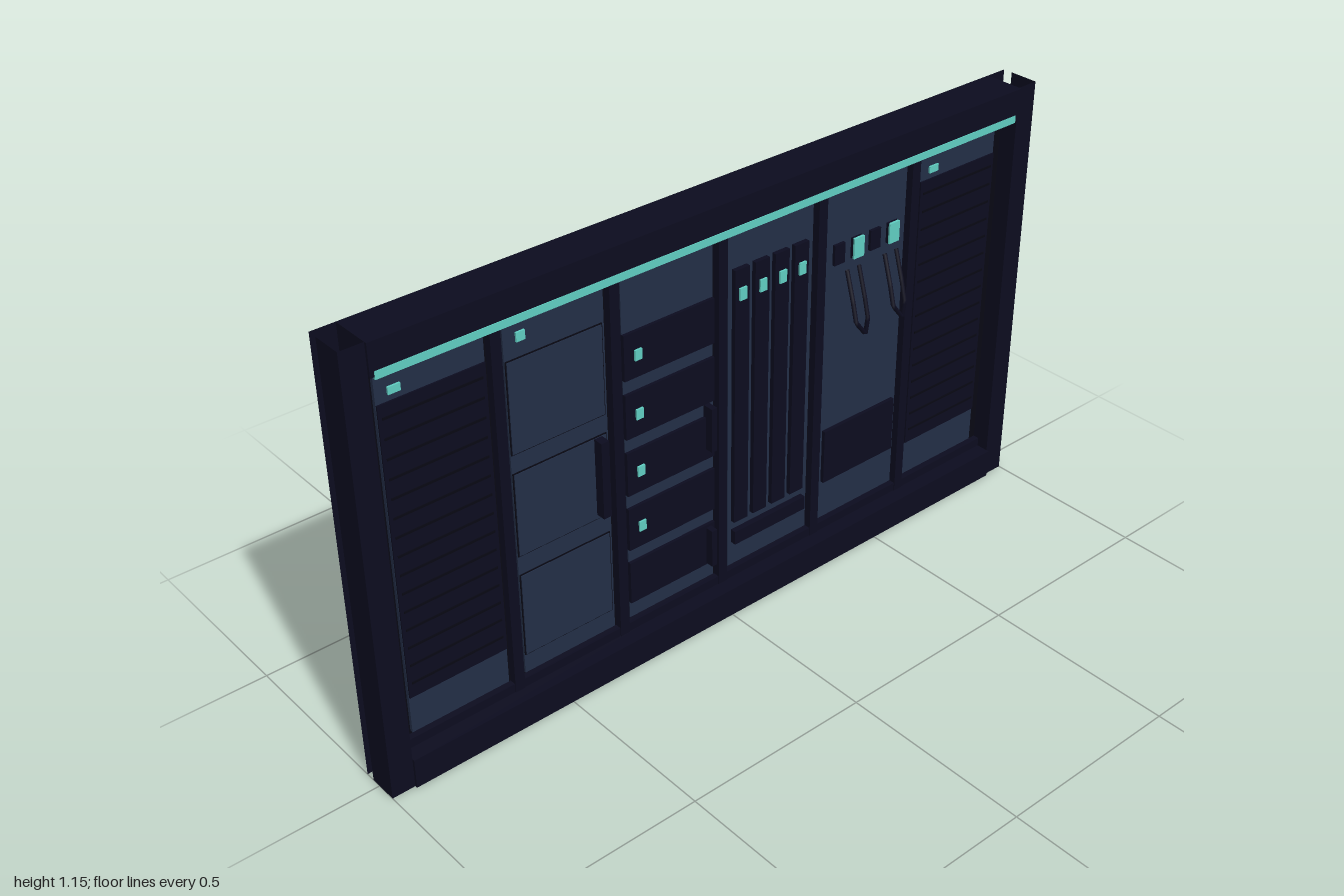
import * as THREE from 'three';

const mat = (name, color, side = THREE.FrontSide) => {
  const m = new THREE.MeshStandardMaterial({ color, side });
  m.name = name;
  return m;
};

export function createModel() {
  const frame = mat('dark navy', 0x0c0c1f, THREE.DoubleSide);
  const panel = mat('slate blue', 0x222e46);
  const seam = mat('seam black', 0x080813);
  const glow = mat('teal light', 0x60cec2);

  const root = new THREE.Group();
  root.name = 'wallCabinet';
  const group = (name) => {
    const g = new THREE.Group();
    g.name = name;
    root.add(g);
    return g;
  };
  const add = (parent, name, geometry, material) => {
    const m = new THREE.Mesh(geometry, material);
    m.name = name;
    parent.add(m);
    return m;
  };
  // Box given by its limits on each axis
  const box = (parent, name, x0, x1, y0, y1, z0, z1, material) => {
    const m = add(parent, name, new THREE.BoxGeometry(x1 - x0, y1 - y0, z1 - z0), material);
    m.position.set((x0 + x1) / 2, (y0 + y1) / 2, (z0 + z1) / 2);
    return m;
  };

  const H = 1.15, FACE = 0.012;

  // Outer shell: thin back sheet, rails, and posts open at the back and ends
  const shell = group('shell');
  add(shell, 'backSheet', new THREE.PlaneGeometry(2, H), frame).position.set(0, H / 2, -0.05);
  box(shell, 'bottomRail', -0.94, 0.94, 0, 0.08, -0.049, 0.06, frame);
  box(shell, 'topRail', -0.94, 0.94, 1.07, H, -0.049, 0.06, frame);
  box(shell, 'backing', -0.94, 0.94, 0.08, 1.07, -0.025, 0.003, seam);
  for (const s of [-1, 1]) {
    const post = new THREE.Group();
    post.name = s < 0 ? 'rightPost' : 'leftPost';
    shell.add(post);
    add(post, 'postFront', new THREE.PlaneGeometry(0.06, H), frame).position.set(s * 0.97, H / 2, 0.053);
    for (const [name, x] of [['postOuterSide', 1], ['postInnerSide', 0.94]]) {
      const side = add(post, name, new THREE.PlaneGeometry(0.078, H), frame);
      side.rotation.y = s * Math.PI / 2;
      side.position.set(s * x, H / 2, 0.014);
    }
  }
  box(shell, 'lightStrip', -0.93, 0.925, 1.064, 1.083, 0.056, 0.062, glow);

  // Bay fronts and the dividers between them
  const bays = group('bays');
  const centre = (i) => -0.777 + i * 0.3108;
  for (let i = 0; i < 6; i++) {
    const c = centre(i);
    box(bays, 'bayFront', c - 0.132, c + 0.132, 0.113, 1.047, 0, FACE, panel);
    if (i < 5) box(bays, 'divider', c + 0.142, c + 0.169, 0.08, 1.07, 0, 0.022, frame);
  }
  box(bays, 'upperTrim', -0.94, 0.94, 1.055, 1.07, 0, 0.02, frame);
  box(bays, 'lowerTrim', -0.94, 0.94, 0.08, 0.104, 0, 0.02, frame);

  const light = (parent, x, y, w, h, z) =>
    box(parent, 'indicator', x - w / 2, x + w / 2, y - h / 2, y + h / 2, z - 0.004, z + 0.003, glow);

  // Louvred end bays
  for (const i of [0, 5]) {
    const g = group('ventBay'), c = centre(i);
    box(g, 'vent', c - 0.131, c + 0.131, 0.213, 0.972, 0.004, 0.016, frame);
    for (let k = 0; k < 15; k++) {
      const y = 0.25 + k * 0.049;
      box(g, 'louvre', c - 0.122, c + 0.122, y, y + 0.006, 0.014, 0.018, seam);
    }
    light(g, c - 0.088, 0.997, 0.03, 0.018, 0.014);
  }

  // Door bay with three raised panels
  const door = group('doorBay');
  for (const [y0, y1] of [[0.165, 0.395], [0.445, 0.668], [0.715, 0.95]]) {
    box(door, 'panelSeam', -0.597, -0.34, y0, y1, FACE, 0.014, seam);
    box(door, 'raisedPanel', -0.594, -0.343, y0 + 0.003, y1 - 0.003, FACE, 0.016, panel);
  }
  box(door, 'doorHandle', -0.376, -0.354, 0.46, 0.665, FACE, 0.042, frame);
  light(door, -0.555, 1.0, 0.023, 0.023, 0.014);

  // Drawer bay
  const drawers = group('drawerBay');
  for (let k = 0; k < 5; k++) {
    const y = 0.16 + k * 0.155;
    box(drawers, 'drawer', -0.288, -0.025, y, y + 0.118, 0.004, 0.02, frame);
    if (k > 0) light(drawers, -0.25, y + 0.059, 0.02, 0.027, 0.022);
  }
  for (const [y0, y1] of [[0.5, 0.62], [0.165, 0.27]])
    box(drawers, 'drawerHandle', -0.052, -0.036, y0, y1, FACE, 0.042, frame);

  // Bay of upright modules
  const rack = group('moduleBay');
  for (let k = 0; k < 4; k++) {
    const x = 0.057 + k * 0.062;
    box(rack, 'module', x - 0.022, x + 0.022, 0.246, 0.947, 0.004, 0.024, frame);
    light(rack, x, 0.883, 0.021, 0.032, 0.026);
  }
  box(rack, 'moduleTray', 0.035, 0.27, 0.182, 0.22, 0.004, 0.028, frame);

  // Socket bay with hanging cable loops
  const sockets = group('socketBay');
  for (let k = 0; k < 4; k++) {
    const x = 0.372 + k * 0.06;
    if (k % 2) light(sockets, x, 0.872, 0.034, 0.054, 0.022);
    box(sockets, 'socket', x - 0.017, x + 0.017, 0.845, 0.899, 0.004, 0.02, frame);
  }
  box(sockets, 'socketDrawer', 0.34, 0.586, 0.226, 0.38, 0.004, 0.022, frame);
  for (const x of [0.398, 0.526]) {
    const pts = [[0, 0.82, 0.02], [0, 0.74, 0.045], [0, 0.69, 0.058], [0.04, 0.643, 0.052],
      [0.04, 0.69, 0.058], [0.04, 0.74, 0.045], [0.04, 0.82, 0.02]];
    const path = new THREE.CurvePath();
    for (let k = 0; k < pts.length - 1; k++)
      path.add(new THREE.LineCurve3(new THREE.Vector3(...pts[k]), new THREE.Vector3(...pts[k + 1])));
    add(sockets, 'cableLoop', new THREE.TubeGeometry(path, 40, 0.006, 6, false), frame).position.x = x;
  }

  return root;
}
